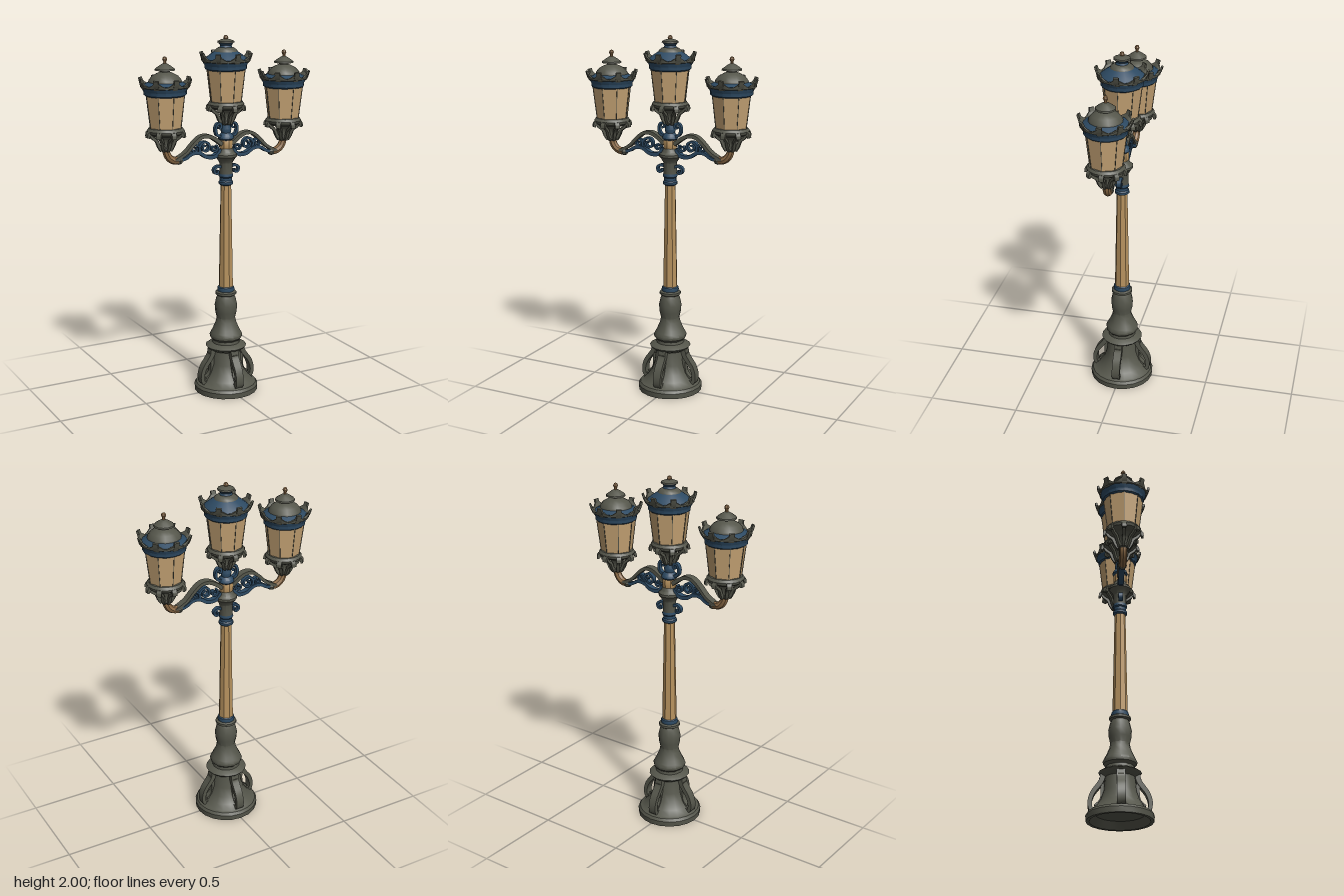
import * as THREE from 'three';
import { toCreasedNormals } from 'three/addons/utils/BufferGeometryUtils.js';

const mat = (name, color) => new THREE.MeshStandardMaterial({ name, color });

export function createModel() {
  const iron = mat('dark iron', 0x55564b);
  const blue = mat('blue paint', 0x2d4a63);
  const glass = mat('warm glass', 0xc6a475);
  const tan = mat('tan shaft', 0xb8935f);
  const bronze = mat('bronze', 0x8f6d48);
  const root = new THREE.Group();
  root.name = 'streetLamp';

  const add = (parent, name, geo, material, crease = 0.6) => {
    const m = new THREE.Mesh(toCreasedNormals(geo, crease), material);
    m.name = name;
    parent.add(m);
    return m;
  };
  const group = (parent, name, x = 0, y = 0, ry = 0) => {
    const g = new THREE.Group();
    g.name = name;
    g.position.set(x, y, 0);
    g.rotation.y = ry;
    parent.add(g);
    return g;
  };
  // Profile of [radius, height] pairs, listed upwards along the outside
  const turn = (parent, name, profile, material, sides = 16) =>
    add(parent, name, new THREE.LatheGeometry(profile.map(p => new THREE.Vector2(...p)), sides), material);

  // Flat bar bent along a path in the xy plane, tapering slightly to its end
  const ribbon = (parent, name, pts, thick, depth, material, n = 20) => {
    const path = new THREE.CatmullRomCurve3(pts.map(p => new THREE.Vector3(p[0], p[1], 0)));
    const a = [], b = [];
    for (let i = 0; i <= n; i++) {
      const p = path.getPoint(i / n), t = path.getTangent(i / n);
      const h = thick / 2 * (1 - 0.3 * i / n);
      a.push(new THREE.Vector2(p.x - t.y * h, p.y + t.x * h));
      b.unshift(new THREE.Vector2(p.x + t.y * h, p.y - t.x * h));
    }
    const geo = new THREE.ExtrudeGeometry(new THREE.Shape([...a, ...b]), { depth, bevelEnabled: false });
    geo.translate(0, 0, -depth / 2);
    return add(parent, name, geo, material);
  };
  // Points winding inwards around (cx, cy)
  const spiral = (cx, cy, r, start, turns) => Array.from({ length: 13 }, (_, i) => {
    const t = i / 12, ang = start + turns * Math.PI * 2 * t, rad = r * (1 - 0.75 * t);
    return [cx + Math.cos(ang) * rad, cy + Math.sin(ang) * rad];
  });

  // Base: hollow foot, skirt, flange and vase
  const base = group(root, 'base');
  turn(base, 'foot', [[0, 0.06], [0.13, 0.04], [0.16, 0], [0.178, 0], [0.18, 0.03], [0.17, 0.045],
    [0.155, 0.05], [0.13, 0.075], [0.105, 0.11], [0.088, 0.16], [0.08, 0.24]], iron, 20);
  turn(base, 'flange', [[0.08, 0.235], [0.105, 0.25], [0.115, 0.262], [0.1, 0.272], [0.078, 0.28],
    [0.075, 0.3]], iron, 16);
  turn(base, 'vase', [[0.075, 0.295], [0.09, 0.31], [0.092, 0.325], [0.084, 0.342], [0.074, 0.36], [0.057, 0.4],
    [0.052, 0.425], [0.06, 0.46], [0.063, 0.5], [0.054, 0.54], [0.048, 0.555], [0.059, 0.562],
    [0.059, 0.575], [0.045, 0.582]], iron, 12);
  for (let i = 0; i < 4; i++) {
    const g = group(base, 'buttress', 0, 0, i * Math.PI / 2);
    ribbon(g, 'buttressScroll', [[0.09, 0.25], [0.098, 0.215], [0.118, 0.185], [0.143, 0.15], [0.158, 0.1],
      [0.15, 0.06], [0.128, 0.062]], 0.028, 0.045, iron);
    ribbon(g, 'buttressLeaf', [[0.1, 0.23], [0.092, 0.17], [0.1, 0.11], [0.13, 0.08]], 0.022, 0.03, iron);
  }

  // Eight-sided column
  turn(root, 'shaftCollar', [[0.046, 0.575], [0.048, 0.59], [0.046, 0.603], [0.04, 0.608]], blue, 12);
  turn(root, 'shaft', [[0.041, 0.6], [0.03, 1.2]], tan, 8);
  turn(root, 'neckBand', [[0.03, 1.185], [0.04, 1.192], [0.04, 1.205], [0.034, 1.212], [0.034, 1.228],
    [0.04, 1.235], [0.038, 1.25]], blue, 12);
  turn(root, 'capital', [[0.036, 1.245], [0.036, 1.31], [0.048, 1.33], [0.06, 1.345], [0.06, 1.358],
    [0.045, 1.37], [0.036, 1.39]], iron, 12);
  turn(root, 'hub', [[0.034, 1.385], [0.038, 1.395], [0.038, 1.43], [0.034, 1.44]], tan, 8);
  turn(root, 'hubCap', [[0.034, 1.435], [0.044, 1.445], [0.04, 1.46], [0.026, 1.475], [0.03, 1.495],
    [0.022, 1.52], [0.02, 1.54]], blue, 12);

  // Lantern, with y = 0 under its collar
  const lantern = (name, x, y, tall) => {
    const g = group(root, name, x, y);
    turn(g, 'collar', [[0, -0.005], [0.075, -0.005], [0.096, 0.008], [0.1, 0.022], [0.09, 0.036], [0.07, 0.04]], iron, 16);
    turn(g, 'stem', [[0.024, -0.09], [0.032, -0.08], [0.026, -0.06], [0.034, -0.025], [0.06, 0]], iron, 10);
    turn(g, 'panes', [[0.085, 0.03], [0.109, 0.222]], glass, 8);
    for (let i = 0; i < 8; i++) {
      const side = group(g, 'lanternSide', 0, 0, i * Math.PI / 4);
      ribbon(side, 'bracket', [[0.026, -0.085], [0.042, -0.06], [0.055, -0.03], [0.08, -0.012], [0.09, 0.01]],
        0.018, 0.016, iron, 8);
      ribbon(side, 'foot', [[0.085, 0.02], [0.1, 0.008], [0.104, -0.012]], 0.018, 0.026, iron, 6);
      ribbon(side, 'glazingBar', [[0.085, 0.03], [0.109, 0.222]], 0.005, 0.003, iron, 2);
      ribbon(side, 'crownTip', [[0.118, 0.25], [0.13, 0.27], [0.14, 0.298]], 0.016, 0.028, iron, 6);
    }
    turn(g, 'band', [[0.104, 0.205], [0.113, 0.212], [0.114, 0.23], [0.126, 0.25], [0.128, 0.265]], blue, 16);

    // Scalloped crown: the rim rises and spreads at every tip
    const rim = new THREE.LatheGeometry([[0.12, 0.248], [0.131, 0.254], [0.135, 0.272], [0.128, 0.274],
      [0.112, 0.262]].map(p => new THREE.Vector2(...p)), 48);
    const pos = rim.attributes.position;
    for (let i = 0; i < pos.count; i++) {
      const px = pos.getX(i), py = pos.getY(i), pz = pos.getZ(i);
      const wave = Math.cos(8 * Math.atan2(px, pz));
      const k = 1 + 0.035 * wave;
      if (py > 0.27) pos.setXYZ(i, px * k, py + 0.012 * wave, pz * k);
    }
    add(g, 'crown', rim, iron);

    if (tall) {
      turn(g, 'roofSkirt', [[0.118, 0.262], [0.09, 0.285], [0.06, 0.305]], blue, 16);
      turn(g, 'roof', [[0.064, 0.3], [0.06, 0.31], [0.045, 0.322], [0.028, 0.326]], iron, 16);
      turn(g, 'finialNeck', [[0.036, 0.32], [0.03, 0.335], [0.042, 0.35]], blue, 12);
      turn(g, 'finialCap', [[0.03, 0.345], [0.046, 0.35], [0.044, 0.358], [0.025, 0.366], [0, 0.372]], iron, 12);
    } else {
      turn(g, 'roofSkirt', [[0.118, 0.262], [0.088, 0.278]], blue, 16);
      turn(g, 'roof', [[0.09, 0.272], [0.086, 0.288], [0.07, 0.308], [0.045, 0.322], [0.026, 0.33], [0.024, 0.345]], iron, 16);
      turn(g, 'finialCap', [[0.02, 0.336], [0.054, 0.338], [0.052, 0.346], [0.03, 0.362], [0.013, 0.372], [0, 0.375]], iron, 12);
    }
    const top = tall ? 0.39 : 0.41;
    turn(g, 'finialTip', [[0.009, top - 0.042], [0.008, top - 0.028], [0.014, top - 0.015], [0.009, top - 0.004],
      [0, top]], bronze, 8);
  };
  lantern('centreLantern', 0, 1.61, true);
  lantern('leftLantern', 0.36, 1.495, false);
  lantern('rightLantern', -0.36, 1.495, false);

  // Scrolled arms, the second turned half round
  for (const [name, ry] of [['leftArm', 0], ['rightArm', Math.PI]]) {
    const g = group(root, name, 0, 0, ry);
    ribbon(g, 'upperBar', [[0.03, 1.415], [0.07, 1.445], [0.11, 1.465], [0.155, 1.463], [0.2, 1.43], [0.245, 1.385],
      [0.31, 1.35]], 0.022, 0.04, iron);
    ribbon(g, 'lowerBar', [[0.035, 1.385], [0.07, 1.352], [0.12, 1.352], [0.165, 1.378], [0.21, 1.378], [0.25, 1.355],
      [0.31, 1.345]], 0.022, 0.032, blue);
    ribbon(g, 'largeScroll', spiral(0.13, 1.405, 0.037, -0.6, 1.4), 0.014, 0.026, blue, 40);
    ribbon(g, 'smallScroll', spiral(0.19, 1.402, 0.024, 2.6, -1.2), 0.011, 0.024, blue, 30);
    ribbon(g, 'innerScroll', spiral(0.075, 1.395, 0.022, 2.4, 1.1), 0.011, 0.024, blue, 30);
    ribbon(g, 'topScroll', [[0.025, 1.455], [0.055, 1.465], [0.066, 1.495], [0.055, 1.525], [0.036, 1.525],
      [0.034, 1.505], [0.046, 1.502]], 0.015, 0.024, blue);
    ribbon(g, 'neckScroll', [[0.03, 1.29], [0.055, 1.293], [0.074, 1.28], [0.07, 1.258], [0.052, 1.256],
      [0.052, 1.272]], 0.015, 0.024, blue);
    const elbow = new THREE.CatmullRomCurve3([[0.285, 1.348], [0.315, 1.35], [0.342, 1.368], [0.357, 1.395], [0.36, 1.42]]
      .map(p => new THREE.Vector3(p[0], p[1], 0)));
    add(g, 'elbow', new THREE.TubeGeometry(elbow, 10, 0.021, 8), bronze);
    turn(group(g, 'armEnd', 0.285, 1.348), 'armKnob', [[0, -0.024], [0.018, -0.016], [0.024, 0], [0.018, 0.016],
      [0, 0.024]], iron, 8);
  }
  return root;
}
